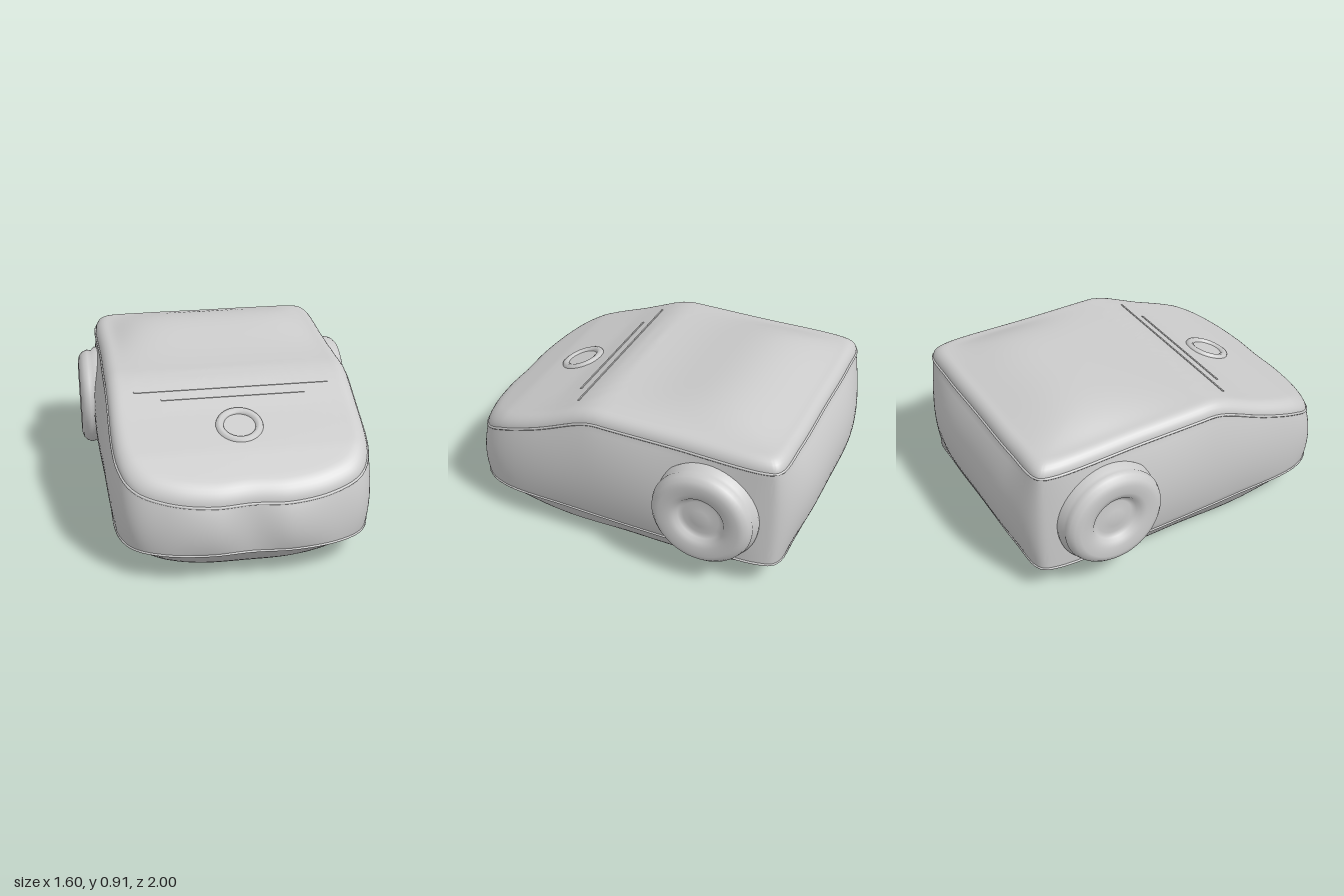
import * as THREE from 'three';
import { toCreasedNormals } from 'three/addons/utils/BufferGeometryUtils.js';

const material = new THREE.MeshStandardMaterial({ color: 0xcccccc, side: THREE.DoubleSide });
const SEGMENTS = 160;
const SILL = 0.17;
const ROUND = 0.07;

function mesh(name, geometry) {
  const m = new THREE.Mesh(geometry, material);
  m.name = name;
  return m;
}

// Half outline (x, z) from front centre to back centre, mirrored into a closed smooth loop
function outline(half) {
  const left = half.map(([x, z]) => new THREE.Vector3(x, 0, z));
  const right = half.slice(1, -1).reverse().map(([x, z]) => new THREE.Vector3(-x, 0, z));
  const curve = new THREE.CatmullRomCurve3([...left, ...right], true);
  return Array.from({ length: SEGMENTS }, (_, i) => curve.getPoint(i / SEGMENTS));
}

const bottom = outline([[0, 0.78], [0.25, 0.77], [0.42, 0.71], [0.52, 0.6], [0.56, 0.4], [0.56, 0],
  [0.56, -0.35], [0.53, -0.55], [0.46, -0.66], [0.3, -0.71], [0, -0.72]]);
const sill = outline([[0, 0.97], [0.22, 0.98], [0.45, 0.94], [0.59, 0.86], [0.66, 0.72], [0.68, 0.3],
  [0.69, -0.3], [0.68, -0.82], [0.64, -0.9], [0.4, -0.92], [0, -0.92]]);
const middle = outline([[0, 0.975], [0.2, 1], [0.44, 0.95], [0.6, 0.87], [0.67, 0.74], [0.715, 0.2],
  [0.725, -0.3], [0.68, -0.82], [0.64, -0.91], [0.4, -0.985], [0, -1]]);
const shoulder = outline([[0, 0.96], [0.2, 0.968], [0.42, 0.93], [0.58, 0.85], [0.65, 0.72], [0.67, 0.2],
  [0.67, -0.3], [0.67, -0.83], [0.64, -0.89], [0.4, -0.91], [0, -0.91]]);

// Height of the upper surface along the length: flat deck, then sloping hood
const profile = [[-1, 0.83], [0.14, 0.837], [0.22, 0.82], [0.45, 0.72], [0.72, 0.625], [0.88, 0.55], [1, 0.49]];
function edgeHeight(z) {
  for (let i = 1; i < profile.length; i++) {
    const [z0, y0] = profile[i - 1];
    const [z1, y1] = profile[i];
    if (z <= z1) return y0 + (y1 - y0) * (z - z0) / (z1 - z0);
  }
  return 0.49;
}

function bodyRings() {
  const rings = [];
  // Underside flare
  for (let j = 0; j < 6; j++) {
    const t = j / 6;
    rings.push(bottom.map((p, i) => p.clone().lerp(sill[i], Math.pow(t, 0.9)).setY(SILL * t)));
  }
  // Walls bulging through the middle outline
  for (let j = 0; j <= 16; j++) {
    const t = j / 16;
    rings.push(sill.map((p, i) => {
      const q = p.clone().multiplyScalar((1 - t) * (1 - 2 * t))
        .addScaledVector(middle[i], 4 * t * (1 - t))
        .addScaledVector(shoulder[i], t * (2 * t - 1));
      const top = edgeHeight(shoulder[i].z) - ROUND;
      return q.setY(SILL + t * (top - SILL));
    }));
  }
  // Rounded shoulder
  for (let j = 1; j <= 7; j++) {
    const a = j / 7 * Math.PI / 2;
    const inset = ROUND * (1 - Math.cos(a));
    rings.push(shoulder.map(p => {
      const x = p.x * (1 - inset / 0.67), z = p.z * (1 - inset / 0.95);
      return new THREE.Vector3(x, edgeHeight(z) - ROUND * (1 - Math.sin(a)), z);
    }));
  }
  // Crowned deck and hood
  const rim = rings[rings.length - 1];
  for (let j = 1; j <= 32; j++) {
    const s = 1 - j / 32;
    rings.push(rim.map(p => {
      const x = p.x * s, z = p.z * s;
      const crown = 0.073 * Math.exp(-Math.pow((z + 0.5) / 0.34, 2))
        * (1 - Math.pow(x / 0.61, 4)) * (1 - Math.pow(s, 9));
      return new THREE.Vector3(x, edgeHeight(z) + crown, z);
    }));
  }
  return rings;
}

function loft(rings) {
  const index = [];
  for (let j = 0; j < rings.length - 1; j++) {
    for (let i = 0; i < SEGMENTS; i++) {
      const k = (i + 1) % SEGMENTS;
      const a = j * SEGMENTS + i, b = j * SEGMENTS + k;
      index.push(a, b, b + SEGMENTS);
      if (j < rings.length - 2) index.push(a, b + SEGMENTS, a + SEGMENTS);
    }
  }
  const geometry = new THREE.BufferGeometry().setFromPoints(rings.flat());
  geometry.setIndex(index);
  return toCreasedNormals(geometry, 0.6);
}

function seam(name, points, radius) {
  const curve = new THREE.CatmullRomCurve3(points, true);
  return mesh(name, new THREE.TubeGeometry(curve, SEGMENTS, radius, 6, true));
}

export function createModel() {
  const model = new THREE.Group();
  model.name = 'roundedVehicle';

  // Hollow shell, open underneath
  model.add(mesh('bodyShell', loft(bodyRings())));

  // Fine raised lines along sill and shoulder
  model.add(seam('sillSeam', sill.map(p => p.clone().setY(SILL)), 0.007));
  model.add(seam('shoulderSeam',
    shoulder.map(p => p.clone().setY(edgeHeight(p.z) - ROUND)), 0.008));

  // Seams across the hood
  for (const [z, width] of [[0.29, 1.06], [0.35, 0.78]]) {
    const line = mesh('hoodSeam', new THREE.BoxGeometry(width, 0.008, 0.012));
    line.position.set(0, edgeHeight(z), z);
    line.rotation.x = 0.41;
    model.add(line);
  }

  // Ring on the hood
  const ring = mesh('hoodRing', new THREE.TorusGeometry(0.105, 0.024, 8, 32));
  ring.position.set(0, edgeHeight(0.55) - 0.008, 0.55);
  ring.rotation.x = -Math.PI / 2 + 0.36;
  model.add(ring);

  // Dished side wheels
  const wheelProfile = [[0, 0.765], [0.05, 0.765], [0.1, 0.752], [0.125, 0.765], [0.14, 0.785], [0.17, 0.795],
    [0.22, 0.8], [0.25, 0.79], [0.27, 0.77], [0.28, 0.745], [0.275, 0.72], [0.295, 0.7], [0.29, 0.66]]
    .map(([r, h]) => new THREE.Vector2(r, h)).reverse();
  for (const side of [1, -1]) {
    const wheel = mesh(side > 0 ? 'leftWheel' : 'rightWheel', new THREE.LatheGeometry(wheelProfile, 56));
    wheel.position.set(0, 0.435, -0.52);
    wheel.rotation.z = -side * Math.PI / 2;
    model.add(wheel);
  }
  return model;
}
